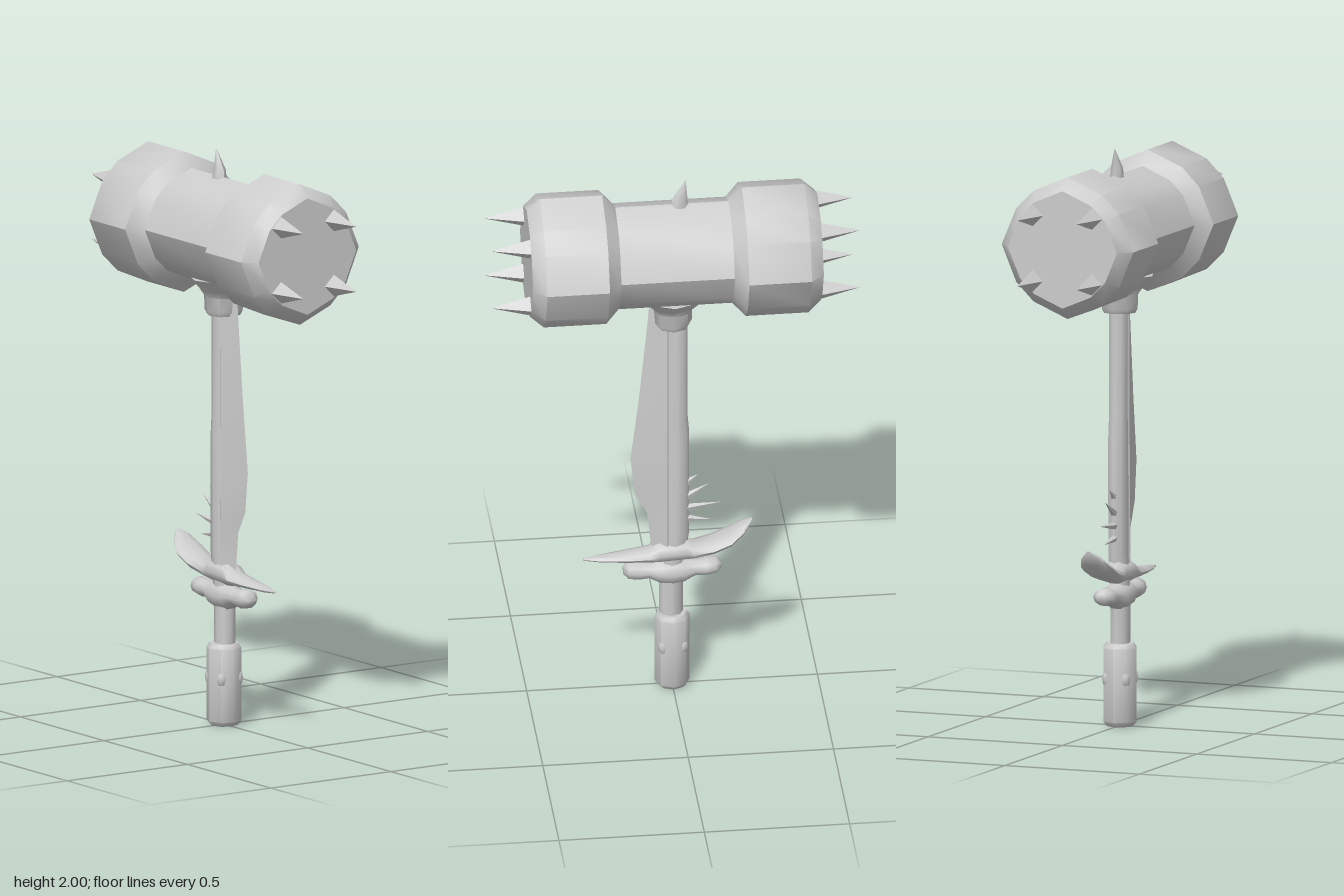
import * as THREE from 'three';
import { toCreasedNormals } from 'three/addons/utils/BufferGeometryUtils.js';

const material = new THREE.MeshStandardMaterial({ color: 0xcccccc });

// Skins closed rings of points (counter-clockwise about the travel direction) and caps both ends.
function loft(rings, crease = 0.7) {
  const n = rings[0].length;
  const index = [];
  for (let r = 0; r < rings.length - 1; r++) {
    for (let i = 0; i < n; i++) {
      const a = r * n + i, b = r * n + (i + 1) % n;
      index.push(a, b, b + n, a, b + n, a + n);
    }
  }
  const last = (rings.length - 1) * n;
  for (let i = 1; i < n - 1; i++) {
    index.push(0, i + 1, i, last, last + i, last + i + 1);
  }
  const geo = new THREE.BufferGeometry();
  geo.setAttribute('position', new THREE.Float32BufferAttribute(rings.flat(2), 3));
  geo.setIndex(index);
  return toCreasedNormals(geo, crease);
}

// Elliptical ring facing +z.
const ringZ = (z, y, rx, ry, n = 10) => Array.from({ length: n }, (_, i) => {
  const t = (i / n) * Math.PI * 2;
  return [rx * Math.cos(t), y + ry * Math.sin(t), z];
});

// Elliptical ring facing +y.
const ringY = (y, z, rx, rz, n = 8) => Array.from({ length: n }, (_, i) => {
  const t = (i / n) * Math.PI * 2;
  return [rx * Math.sin(t), y, z + rz * Math.cos(t)];
});

export function createModel() {
  const group = new THREE.Group();
  const add = (name, geo) => {
    const mesh = new THREE.Mesh(geo, material);
    mesh.name = name;
    group.add(mesh);
    return mesh;
  };

  // Pointed cone running from a base point to a tip.
  const spike = (name, base, tip, radius, sides) => {
    const a = new THREE.Vector3(...base);
    const dir = new THREE.Vector3(...tip).sub(a);
    const length = dir.length();
    const geo = new THREE.ConeGeometry(radius, length, sides).translate(0, length / 2, 0);
    const mesh = add(name, toCreasedNormals(geo, sides > 4 ? 1.1 : 0.3));
    mesh.position.copy(a);
    mesh.quaternion.setFromUnitVectors(new THREE.Vector3(0, 1, 0), dir.normalize());
  };

  // Hammer head: an octagon with clipped diagonal corners, swept along z
  const quarter = [[1, 0], [0.78, 0.52], [0.52, 0.78]];
  const outline = [0, 1, 2, 3].flatMap((q) => quarter.map(([x, y]) => {
    const c = [1, 0, -1, 0][q], s = [0, 1, 0, -1][q];
    return [x * c - y * s, x * s + y * c];
  }));
  const headY = 1.713;
  const headRing = ([z, r]) => outline.map(([x, y]) => [x * r, headY + y * r, z]);
  const half = [[0.195, 0.194], [0.24, 0.245], [0.455, 0.245], [0.5, 0.203]];
  const profile = [...half.map(([z, r]) => [-z, r]).reverse(), ...half];
  add('hammerHead', loft(profile.map(headRing), 0.75));

  // Four spikes on each striking face and one on the crown
  for (const side of [1, -1]) {
    for (const x of [-0.11, 0.11]) {
      for (const y of [1.6, 1.827]) {
        spike('faceSpike', [x, y, side * 0.495], [x, y, side * 0.635], 0.039, 4);
      }
    }
  }
  add('crownSpike', loft([
    ringY(1.88, -0.027, 0.024, 0.032, 6),
    ringY(1.93, -0.027, 0.02, 0.026, 6),
    ringY(2.0, -0.046, 0.001, 0.001, 6),
  ], 1.1));

  // Collar flaring into the head
  add('collar', loft([
    ringY(1.43, -0.002, 0.058, 0.058),
    ringY(1.445, -0.002, 0.066, 0.066),
    ringY(1.495, -0.002, 0.068, 0.068),
    ringY(1.52, 0, 0.085, 0.09),
    ringY(1.56, 0, 0.12, 0.13),
  ], 0.9));

  // Shaft
  add('shaft', loft([
    ringY(0.26, 0.004, 0.034, 0.041),
    ringY(0.45, 0.004, 0.034, 0.041),
    ringY(0.6, -0.013, 0.034, 0.046),
    ringY(1.0, -0.016, 0.034, 0.043),
    ringY(1.06, -0.015, 0.033, 0.039),
    ringY(1.5, -0.015, 0.032, 0.039),
  ], 1.0));

  // Blade along the front of the shaft: [y, edge z, half thickness]
  add('blade', loft([
    [0.5, 0.06, 0.03], [0.56, 0.073, 0.03], [0.68, 0.085, 0.03], [0.76, 0.128, 0.029],
    [0.9, 0.143, 0.028], [1.13, 0.115, 0.027], [1.4, 0.088, 0.026], [1.55, 0.075, 0.025],
  ].map(([y, z, w]) => [[0, y, z], [w, y, 0.02], [0, y, -0.03], [-w, y, 0.02]]), 0.5));

  // Thorns on the back of the shaft: [base y, tip y, tip z]
  for (const [y0, y1, z] of [[0.79, 0.825, -0.09], [0.735, 0.787, -0.128],
    [0.695, 0.71, -0.17], [0.655, 0.642, -0.138]]) {
    spike('thorn', [0, y0, -0.04], [0, y1, z], 0.015, 5);
  }

  // Upper guard: pointed at the front, sweeping up into a leaf at the back
  add('upperGuard', loft([
    [-0.275, 0.635, 0.008, 0.004], [-0.245, 0.605, 0.04, 0.02], [-0.2, 0.572, 0.06, 0.023],
    [-0.14, 0.545, 0.058, 0.024], [-0.07, 0.529, 0.048, 0.027], [-0.045, 0.535, 0.047, 0.04],
    [0.045, 0.53, 0.047, 0.04], [0.08, 0.519, 0.045, 0.023], [0.165, 0.514, 0.036, 0.015],
    [0.25, 0.511, 0.02, 0.01], [0.305, 0.51, 0.004, 0.004],
  ].map((s) => ringZ(...s)), 1.1));

  // Lower guard: knobbed at both ends
  add('lowerGuard', loft([
    [-0.168, 0.463, 0.016, 0.014], [-0.15, 0.463, 0.036, 0.029], [-0.115, 0.459, 0.04, 0.032],
    [-0.08, 0.457, 0.034, 0.028], [-0.042, 0.452, 0.046, 0.045], [0, 0.45, 0.048, 0.052],
    [0.042, 0.452, 0.046, 0.045], [0.08, 0.455, 0.034, 0.028], [0.115, 0.457, 0.04, 0.034],
    [0.15, 0.46, 0.036, 0.032], [0.168, 0.46, 0.016, 0.014],
  ].map((s) => ringZ(...s)), 1.1));

  // Grip with four small studs
  add('grip', loft([
    ringY(0, 0, 0.048, 0.048), ringY(0.016, 0, 0.061, 0.061),
    ringY(0.27, 0, 0.061, 0.061), ringY(0.286, 0, 0.05, 0.05),
  ], 0.8));
  for (let i = 0; i < 4; i++) {
    const t = Math.PI / 4 + (i * Math.PI) / 2;
    const stud = add('gripStud', new THREE.SphereGeometry(0.018, 8, 6));
    stud.scale.y = 1.7;
    stud.position.set(0.048 * Math.cos(t), 0.165, 0.048 * Math.sin(t));
  }
  return group;
}
